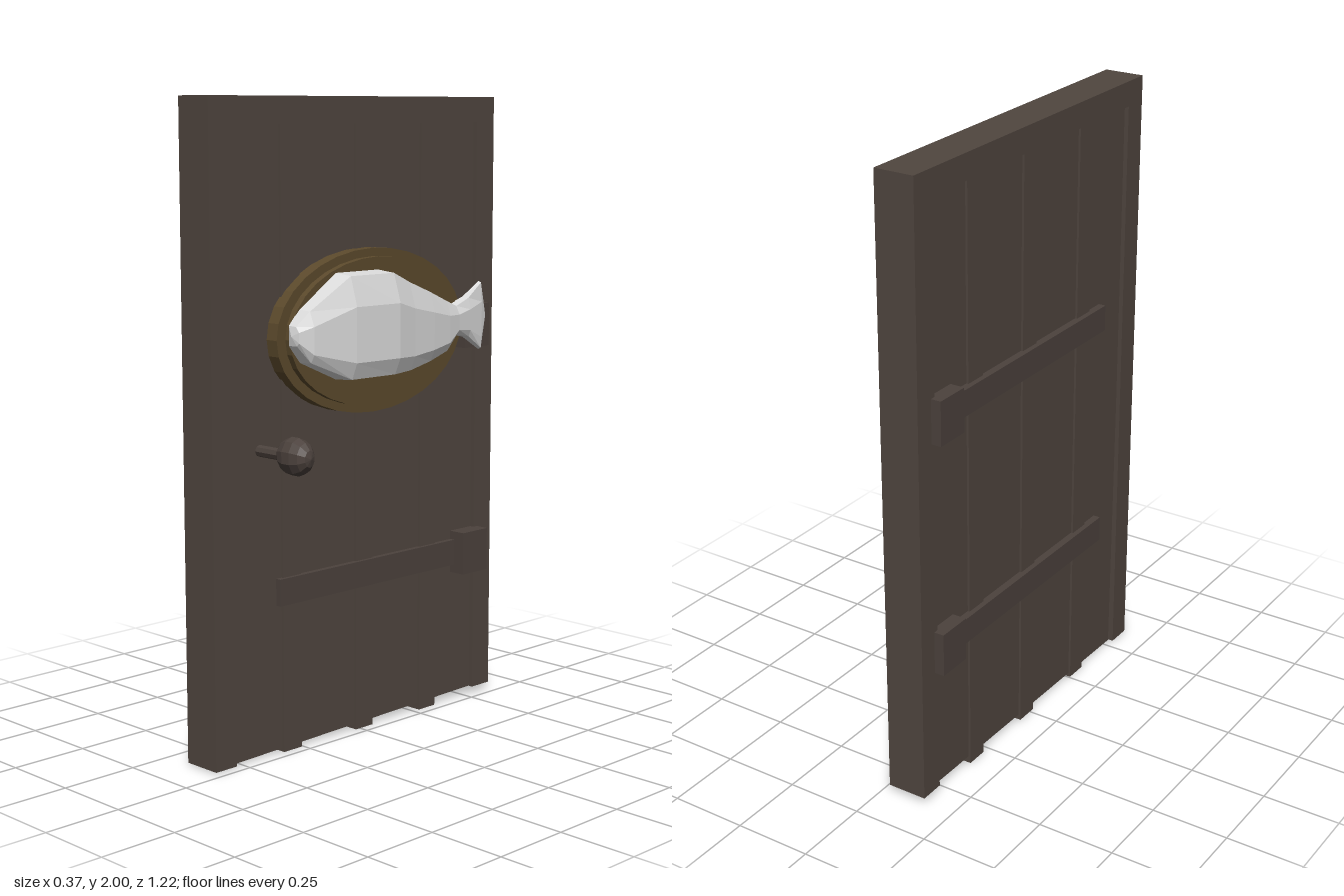
import * as THREE from 'three';

const paint = (name, color) => new THREE.MeshStandardMaterial({ name, color, flatShading: true });

export function createModel() {
  const wood = paint('darkWood', 0x50463f);
  const iron = paint('darkMetal', 0x4c423d);
  const board = paint('plaqueBrown', 0x5c4a2c);
  const silver = paint('fishSilver', 0xdcdcdc);
  const model = new THREE.Group();
  model.name = 'door';

  const add = (name, geometry, material, x = 0, y = 0, z = 0) => {
    const mesh = new THREE.Mesh(geometry, material);
    mesh.name = name;
    mesh.position.set(x, y, z);
    model.add(mesh);
    return mesh;
  };
  // Box given by its limits on each axis
  const block = (name, mat, [x0, x1], [y0, y1], [z0, z1]) =>
    add(name, new THREE.BoxGeometry(x1 - x0, y1 - y0, z1 - z0), mat, (x0 + x1) / 2, (y0 + y1) / 2, (z0 + z1) / 2);
  // Outline of [z, y] points extruded along x
  const prism = (name, mat, points, x0, x1) => {
    const shape = new THREE.Shape(points.map(([z, y]) => new THREE.Vector2(-z, y)));
    const geo = new THREE.ExtrudeGeometry(shape, { depth: x1 - x0, bevelEnabled: false });
    return add(name, geo.rotateY(Math.PI / 2), mat, x0);
  };

  // Frame
  const depth = [-0.155, -0.025];
  block('latchPost', wood, depth, [0.005, 2], [0.53, 0.612]);
  block('hingePost', wood, depth, [0.025, 2], [-0.612, -0.53]);
  block('lintel', wood, depth, [1.92, 2], [-0.53, 0.53]);

  // Slightly sagging door leaf
  prism('doorLeaf', wood, [[0.522, 0.008], [0.53, 0.9], [0.53, 1.92], [-0.53, 1.92], [-0.53, 0.026]], -0.141, -0.039);

  // Upright battens
  for (const [z0, z1] of [[0.255, 0.33], [-0.058, 0.018], [-0.35, -0.275]])
    block('batten', wood, [-0.148, -0.032], [0, 1.918], [z0, z1]);

  // Hinges on both faces
  for (const y of [0.51, 1.265]) {
    block('hingeBlock', iron, [-0.188, 0.02], [y - 0.07, y + 0.07], [-0.547, -0.43]);
    block('frontStrap', iron, [-0.06, -0.02], [y - 0.042, y + 0.042], [-0.43, 0.352]);
    block('backStrap', iron, [-0.165, -0.12], [y - 0.042, y + 0.042], [-0.43, 0.4]);
  }

  // Door knob
  add('knobStem', new THREE.CylinderGeometry(0.018, 0.018, 0.14, 8).rotateZ(Math.PI / 2), iron, 0.01, 0.955, 0.415);
  add('knob', new THREE.SphereGeometry(1, 10, 7).rotateZ(Math.PI / 2).scale(0.068, 0.059, 0.046), iron, 0.118, 0.957, 0.415);

  // Stepped oval plaque
  const oval = (name, rz, ry, x0, x1) => {
    const geo = new THREE.CylinderGeometry(1, 1, x1 - x0, 32).rotateZ(Math.PI / 2).scale(1, ry, rz);
    add(name, geo, board, (x0 + x1) / 2, 1.285, -0.022);
  };
  oval('plaqueBase', 0.405, 0.255, -0.05, 0.005);
  oval('plaqueFace', 0.37, 0.23, 0, 0.027);

  // Mounted fish: z, top, bottom, inner x, outer x, from nose to tail
  const sections = [
    [0.355, 1.33, 1.27, 0.028, 0.072],
    [0.31, 1.375, 1.215, 0.024, 0.09],
    [0.16, 1.475, 1.15, 0.022, 0.118],
    [-0.02, 1.475, 1.15, 0.022, 0.125],
    [-0.1, 1.44, 1.155, 0.022, 0.112],
    [-0.2, 1.402, 1.175, 0.022, 0.1],
    [-0.29, 1.365, 1.2, 0.022, 0.085],
    [-0.345, 1.343, 1.248, 0.022, 0.073],
    [-0.41, 1.365, 1.235, 0.026, 0.062],
    [-0.475, 1.412, 1.19, 0.037, 0.052],
  ];
  const pos = [], index = [], n = 6;
  for (const [z, top, bottom, x0, x1] of sections) {
    const h = top - bottom, w = x1 - x0;
    pos.push(
      x0, top, z, x0 + w * 0.72, top - h * 0.02, z, x1, top - h * 0.3, z,
      x1, bottom + h * 0.18, z, x0 + w * 0.78, bottom + h * 0.02, z, x0, bottom, z);
  }
  const last = (sections.length - 1) * n;
  for (let i = 0; i < last; i += n)
    for (let j = 0; j < n; j++) {
      const a = i + j, b = i + (j + 1) % n;
      index.push(a, b, b + n, a, b + n, a + n);
    }
  // Nose cap and rounded tail end
  pos.push(0.045, 1.3, 0.362, 0.045, 1.3, -0.5);
  const nose = last + n, tail = nose + 1;
  for (let j = 0; j < n; j++) {
    const k = (j + 1) % n;
    index.push(nose, k, j, tail, last + j, last + k);
  }
  const indexed = new THREE.BufferGeometry();
  indexed.setAttribute('position', new THREE.Float32BufferAttribute(pos, 3));
  indexed.setIndex(index);
  const fish = indexed.toNonIndexed();
  fish.computeVertexNormals();
  add('fish', fish, silver);

  return model;
}
